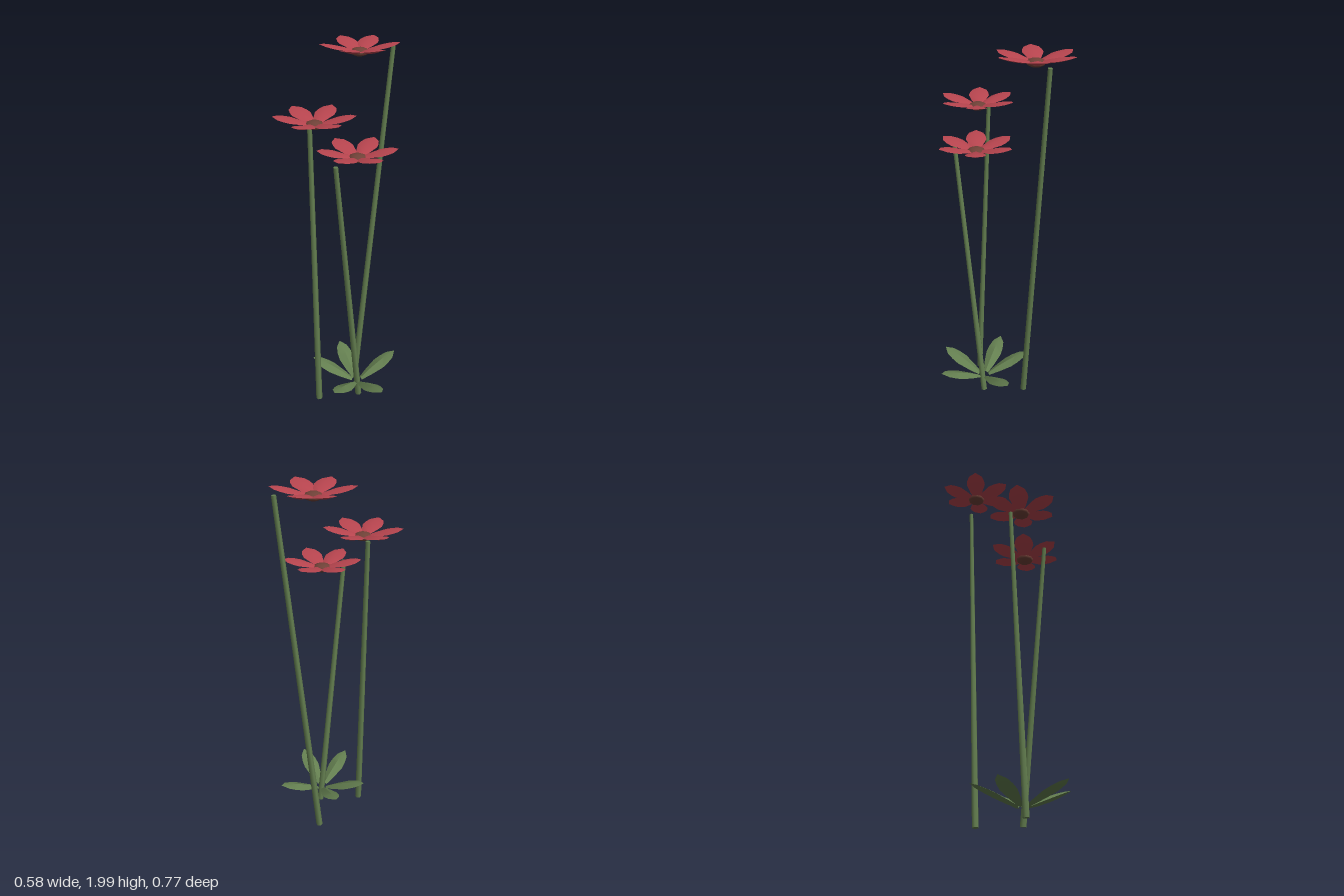
import * as THREE from 'three';
import { toCreasedNormals } from 'three/addons/utils/BufferGeometryUtils.js';

const mat = (name, color) => Object.assign(new THREE.MeshStandardMaterial({ color }), { name });

// Lens-shaped blade along +x: [distance, half width, thickness] as fractions
const PROFILE = [
  [0.1, 0.3, 0.4], [0.3, 0.66, 0.9], [0.57, 1, 1], [0.72, 0.93, 0.85], [0.87, 0.7, 0.5], [1, 0.03, 0.03],
];

function bladeGeometry(length, halfWidth, thickness, rise) {
  const pos = [];
  const point = (i, side, up) => {
    const [d, w, t] = PROFILE[i];
    const y = d * rise + (side === 0 ? up * t * thickness : 0);
    return [d * length, y, side * w * halfWidth];
  };
  for (const up of [1, -1]) {
    const tri = (a, b, c) => pos.push(...a, ...(up > 0 ? b : c), ...(up > 0 ? c : b));
    for (let i = 0; i < PROFILE.length - 1; i++) {
      for (const s of [-1, 0]) {
        const a = point(i, s, up), b = point(i, s + 1, up);
        const c = point(i + 1, s, up), d = point(i + 1, s + 1, up);
        tri(a, b, c);
        tri(b, d, c);
      }
    }
  }
  const geo = new THREE.BufferGeometry();
  geo.setAttribute('position', new THREE.Float32BufferAttribute(pos, 3));
  return toCreasedNormals(geo, 0.6);
}

export function createModel() {
  const model = new THREE.Group();
  model.name = 'flowers';
  const green = mat('leafGreen', 0x647f50);
  const red = mat('petalRed', 0xb8454f);
  const brown = mat('centreBrown', 0x704238);

  // Ring of blades around a point, angles in degrees counted from +x towards -z
  const addBlades = (group, name, geo, material, angles) => angles.forEach((deg) => {
    const blade = new THREE.Mesh(geo, material);
    blade.name = name;
    blade.rotation.y = THREE.MathUtils.degToRad(deg);
    group.add(blade);
  });

  // Flower heads
  const petalGeo = bladeGeometry(0.202, 0.053, 0.011, 0.046);
  const centreGeo = new THREE.SphereGeometry(0.048, 9, 6);
  const heads = [
    [-0.045, 1.946, -0.182, [29, 94, 145, 214, 276, 327]],
    [-0.115, 1.665, 0.18, [27, 92, 151, 207, 274, 331]],
    [0.07, 1.493, 0.085, [29, 90, 150, 210, 267, 326]],
  ];
  for (const [x, y, z, angles] of heads) {
    const head = new THREE.Group();
    head.name = 'flowerHead';
    head.position.set(x, y, z);
    addBlades(head, 'petal', petalGeo, red, angles);
    const centre = new THREE.Mesh(centreGeo, brown);
    centre.name = 'flowerCentre';
    centre.scale.y = 0.45;
    centre.position.y = 0.003;
    head.add(centre);
    model.add(head);
  }

  // Leaning stems, base to top
  const stems = [
    [[-0.12, 0, 0.193], [-0.163, 1.66, 0.143]],
    [[-0.047, 0, -0.148], [0.082, 1.965, -0.315]],
    [[0.068, 0, 0.055], [0.027, 1.495, 0.24]],
  ];
  for (const [from, to] of stems) {
    const a = new THREE.Vector3(...from), b = new THREE.Vector3(...to);
    const dir = b.clone().sub(a);
    const stem = new THREE.Mesh(new THREE.CylinderGeometry(0.012, 0.018, dir.length(), 6), green);
    stem.name = 'stem';
    stem.position.copy(a).add(b).multiplyScalar(0.5);
    stem.quaternion.setFromUnitVectors(new THREE.Vector3(0, 1, 0), dir.normalize());
    model.add(stem);
  }

  // Leaf rosette near the ground
  const rosette = new THREE.Group();
  rosette.name = 'leafRosette';
  rosette.position.set(0.06, 0.085, 0.06);
  addBlades(rosette, 'leaf', bladeGeometry(0.268, 0.046, 0.016, 0.112), green, [59, 138, 187, 268, 326]);
  model.add(rosette);

  return model;
}
